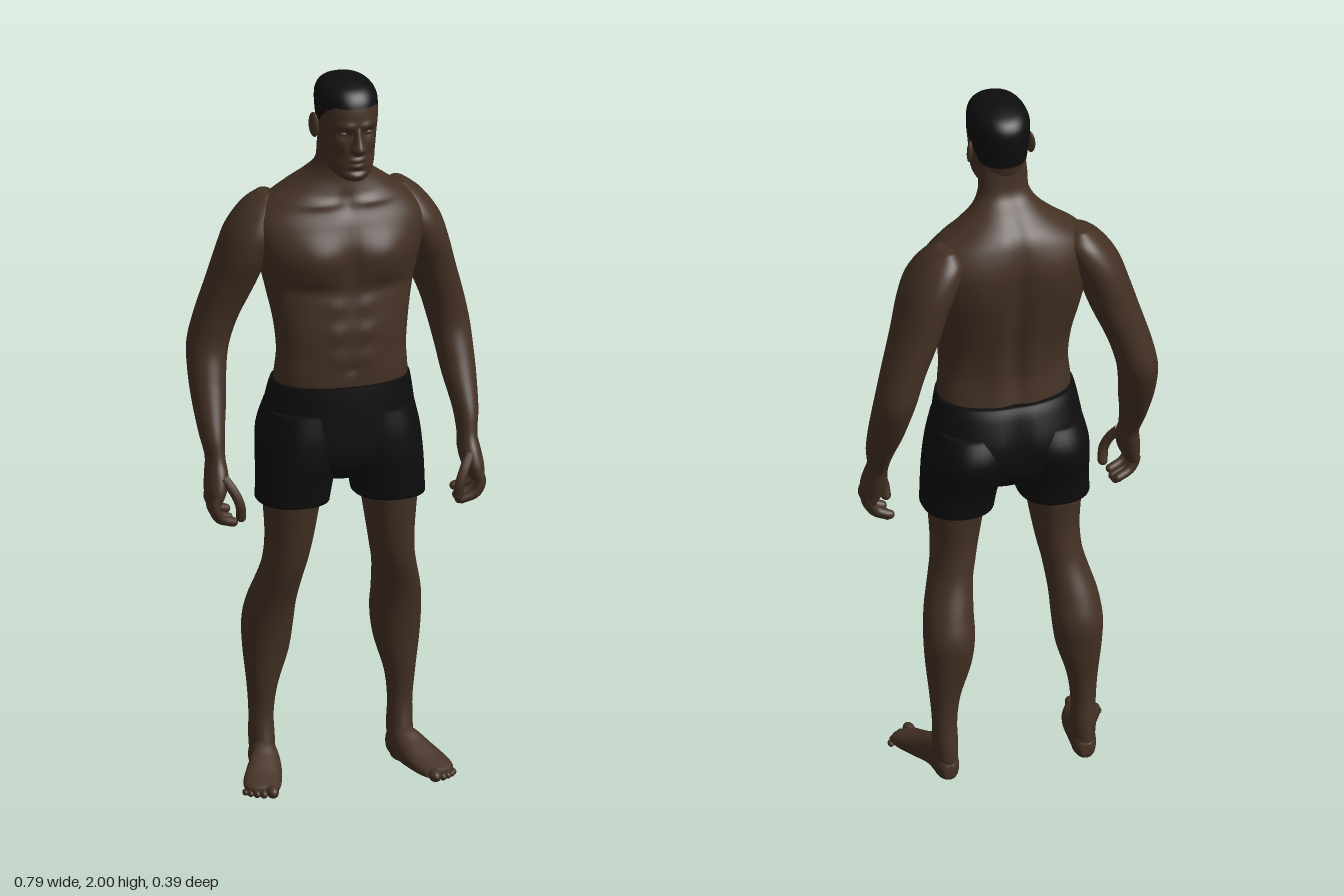
import * as THREE from 'three';

const skin = new THREE.MeshStandardMaterial({ color: 0x443124 });
skin.name = 'darkSkin';
const black = new THREE.MeshStandardMaterial({ color: 0x0e0e0f });
black.name = 'blackClothAndHair';

// Smooth spline through section rows, all columns at once.
function resample(rows, steps) {
  const out = [];
  const at = (i) => rows[Math.min(Math.max(i, 0), rows.length - 1)];
  for (let i = 0; i < rows.length - 1; i++) {
    for (let s = 0; s < steps; s++) {
      const t = s / steps;
      out.push(rows[0].map((_, k) => {
        const [a, b, c, d] = [at(i - 1)[k], at(i)[k], at(i + 1)[k], at(i + 2)[k]];
        return 0.5 * (2 * b + (c - a) * t + (2 * a - 5 * b + 4 * c - d) * t * t + (3 * b - a - 3 * c + d) * t * t * t);
      }));
    }
  }
  out.push(rows[rows.length - 1]);
  return out;
}

// Closed loft over rows [y, xMin, xMax, zBack, zFront].
// Bumps [x, y, side, rx, ry, amount] raise muscles on the front (1) or back (-1), mirrored in x.
function loft(rows, { power = 2.3, around = 40, steps = 5, bumps = [] } = {}) {
  const rings = resample(rows[0][0] < rows[rows.length - 1][0] ? rows : [...rows].reverse(), steps);
  const pos = [], index = [];
  const round = (v) => Math.sign(v) * Math.abs(v) ** (2 / power);
  for (const [y, x0, x1, zb, zf] of rings) {
    for (let j = 0; j < around; j++) {
      const a = (j / around) * Math.PI * 2;
      const x = (x0 + x1) / 2 + ((x1 - x0) / 2) * round(Math.cos(a));
      let z = (zb + zf) / 2 + ((zf - zb) / 2) * round(Math.sin(a));
      for (const [bx, by, side, rx, ry, amount] of bumps) {
        const facing = Math.max(0, Math.sin(a) * side);
        const d = ((Math.abs(x) - bx) / rx) ** 2 + ((y - by) / ry) ** 2;
        z += side * amount * Math.exp(-d) * Math.sqrt(facing);
      }
      pos.push(x, y, z);
    }
  }
  const last = rings.length - 1, bottom = rings.length * around, top = bottom + 1;
  for (const [y, x0, x1, zb, zf] of [rings[0], rings[last]]) pos.push((x0 + x1) / 2, y, (zb + zf) / 2);
  for (let j = 0; j < around; j++) {
    const k = (j + 1) % around;
    for (let i = 0; i < last; i++) {
      const a = i * around + j, b = i * around + k;
      index.push(a, a + around, b, b, a + around, b + around);
    }
    index.push(bottom, j, k, top, last * around + k, last * around + j);
  }
  const g = new THREE.BufferGeometry();
  g.setAttribute('position', new THREE.Float32BufferAttribute(pos, 3));
  g.setIndex(index);
  g.computeVertexNormals();
  return g;
}

const centred = (rows) => rows.map(([y, w, zb, zf]) => [y, -w, w, zb, zf]);

function mirrored(geometry) {
  const g = geometry.clone().scale(-1, 1, 1);
  const ix = g.index.array;
  for (let i = 0; i < ix.length; i += 3) [ix[i], ix[i + 1]] = [ix[i + 1], ix[i]];
  return g;
}

function ellipsoid(x, y, z, rx, ry, rz) {
  return new THREE.SphereGeometry(1, 16, 12).scale(rx, ry, rz).translate(x, y, z);
}

export function createModel() {
  const model = new THREE.Group();
  model.name = 'standingMan';
  const add = (name, geometry, material = skin) => {
    const m = new THREE.Mesh(geometry, material);
    m.name = name;
    model.add(m);
  };
  const pair = (name, geometry, material = skin) => {
    add('left' + name, geometry, material);
    add('right' + name, mirrored(geometry), material);
  };

  // Torso and neck
  add('torsoAndNeck', loft(centred([
    [1.08, 0.18, -0.13, 0.105], [1.15, 0.181, -0.118, 0.112], [1.22, 0.176, -0.108, 0.112],
    [1.3, 0.183, -0.118, 0.11], [1.38, 0.198, -0.14, 0.1], [1.45, 0.214, -0.155, 0.103],
    [1.52, 0.232, -0.165, 0.105], [1.58, 0.236, -0.17, 0.088], [1.63, 0.2, -0.16, 0.066],
    [1.67, 0.145, -0.14, 0.052], [1.71, 0.095, -0.1, 0.045], [1.75, 0.069, -0.058, 0.052],
    [1.8, 0.066, -0.046, 0.06], [1.87, 0.06, -0.045, 0.07],
  ]), {
    around: 96, steps: 8, bumps: [
      [0.095, 1.49, 1, 0.075, 0.06, 0.02], [0.1, 1.405, 1, 0.08, 0.022, -0.007], // chest
      [0, 1.48, 1, 0.014, 0.08, -0.008],
      [0.04, 1.36, 1, 0.028, 0.025, 0.006], [0.04, 1.29, 1, 0.028, 0.025, 0.007], // abdomen
      [0.04, 1.22, 1, 0.028, 0.025, 0.006], [0, 1.185, 1, 0.012, 0.012, -0.007],
      [0, 1.64, 1, 0.02, 0.03, -0.008], [0.08, 1.64, 1, 0.06, 0.012, 0.006], // collarbones
      [0, 1.4, -1, 0.022, 0.26, -0.018], [0.11, 1.52, -1, 0.06, 0.08, 0.012], // spine, shoulder blades
      [0.05, 1.24, -1, 0.03, 0.1, 0.008],
    ],
  }));

  // Head, with the hair as a second material group above the hairline
  const head = loft(centred([
    [1.734, 0.028, 0.075, 0.15], [1.748, 0.05, 0.02, 0.158], [1.775, 0.064, -0.015, 0.158],
    [1.81, 0.07, -0.042, 0.158], [1.85, 0.074, -0.055, 0.16], [1.89, 0.078, -0.063, 0.165],
    [1.93, 0.08, -0.068, 0.163], [1.96, 0.077, -0.062, 0.153], [1.982, 0.062, -0.042, 0.132],
    [1.995, 0.036, -0.005, 0.095], [2.0, 0.01, 0.03, 0.06],
  ]), {
    around: 112, steps: 8, power: 2.25, bumps: [
      [0.034, 1.868, 1, 0.018, 0.012, -0.012], [0.032, 1.893, 1, 0.025, 0.009, 0.007], // eyes, brows
      [0.045, 1.835, 1, 0.015, 0.014, 0.004], [0.05, 1.8, 1, 0.015, 0.02, -0.005],
      [0, 1.795, 1, 0.024, 0.006, 0.007], [0, 1.778, 1, 0.022, 0.006, 0.006], // lips
      [0, 1.763, 1, 0.03, 0.006, -0.005], [0, 1.748, 1, 0.022, 0.01, 0.004],
    ],
  });
  const hairline = [[-1, 1.84], [0, 1.843], [0.035, 1.885], [0.06, 1.885], [0.09, 1.912], [0.13, 1.94], [1, 1.945]];
  const lineAt = (z) => {
    const i = hairline.findIndex((p) => p[0] >= z);
    const [a, b] = [hairline[i - 1], hairline[i]];
    return a[1] + ((b[1] - a[1]) * (z - a[0])) / (b[0] - a[0]);
  };
  const face = [], hair = [], p = head.attributes.position, ix = head.index.array;
  for (let i = 0; i < ix.length; i += 3) {
    const tri = [ix[i], ix[i + 1], ix[i + 2]];
    const mean = (get) => tri.reduce((s, v) => s + get(v), 0) / 3;
    (mean((v) => p.getY(v)) > lineAt(mean((v) => p.getZ(v))) ? hair : face).push(...tri);
  }
  head.setIndex([...face, ...hair]);
  head.addGroup(0, face.length, 0);
  head.addGroup(face.length, hair.length, 1);
  add('headAndHair', head, [skin, black]);

  add('nose', loft(centred([
    [1.808, 0.01, 0.13, 0.166], [1.818, 0.021, 0.13, 0.182], [1.832, 0.02, 0.13, 0.195],
    [1.858, 0.012, 0.13, 0.182], [1.89, 0.011, 0.13, 0.168],
  ]), { around: 24, power: 2 }));
  pair('Ear', ellipsoid(0, 0, 0, 0.008, 0.034, 0.02).rotateY(-0.4).rotateX(-0.15).translate(0.084, 1.862, 0.03));
  pair('Eye', ellipsoid(0.033, 1.868, 0.138, 0.014, 0.008, 0.011));

  // Arms
  pair('Arm', loft([
    [1.645, 0.165, 0.205, -0.12, -0.05], [1.61, 0.14, 0.25, -0.16, 0], [1.55, 0.155, 0.293, -0.182, 0.025],
    [1.48, 0.185, 0.318, -0.187, 0.018], [1.4, 0.212, 0.342, -0.187, -0.012], [1.3, 0.255, 0.372, -0.189, -0.042],
    [1.22, 0.28, 0.39, -0.189, -0.05], [1.15, 0.294, 0.394, -0.165, -0.03], [1.08, 0.304, 0.393, -0.128, -0.002],
    [1, 0.32, 0.386, -0.08, 0.032], [0.94, 0.325, 0.376, -0.045, 0.047], [0.9, 0.322, 0.381, -0.035, 0.068],
    [0.86, 0.329, 0.386, -0.024, 0.082], [0.825, 0.345, 0.384, -0.012, 0.082],
  ], { power: 2.1 }));

  // Curled fingers and the thumb
  const digit = (name, points, r) => {
    const curve = new THREE.CatmullRomCurve3(points.map((q) => new THREE.Vector3(...q)));
    const tip = points[points.length - 1];
    pair(name, new THREE.TubeGeometry(curve, 12, r, 10));
    pair(name + 'Tip', ellipsoid(...tip, r, r, r));
  };
  for (let i = 0; i < 4; i++) {
    const z = -0.002 + i * 0.024, drop = [0.022, 0.005, 0, 0.008][i];
    digit('Finger' + (i + 1), [[0.362, 0.85, z], [0.37, 0.812 + drop, z + 0.003],
      [0.355, 0.78 + drop, z + 0.002], [0.318, 0.764 + drop, z - 0.006]], 0.0125);
  }
  digit('Thumb', [[0.342, 0.895, 0.06], [0.32, 0.86, 0.08], [0.306, 0.825, 0.088], [0.302, 0.79, 0.082]], 0.0135);

  // Shorts
  add('shortsHips', loft(centred([
    [1.138, 0.188, -0.132, 0.117], [1.1, 0.196, -0.15, 0.119], [1.02, 0.208, -0.172, 0.12],
    [0.95, 0.208, -0.162, 0.118], [0.9, 0.17, -0.13, 0.1], [0.862, 0.08, -0.08, 0.06],
  ]), { around: 64, bumps: [[0, 1, -1, 0.025, 0.09, -0.018]] }), black);
  pair('ShortsLeg', loft([
    [1.06, 0.01, 0.2, -0.15, 0.11], [0.99, 0.006, 0.217, -0.177, 0.119], [0.92, 0.01, 0.224, -0.155, 0.118],
    [0.86, 0.026, 0.227, -0.128, 0.108], [0.8, 0.036, 0.23, -0.116, 0.098],
  ]), black);

  // Legs
  pair('Leg', loft([
    [0.9, 0.04, 0.212, -0.12, 0.1], [0.8, 0.06, 0.21, -0.106, 0.09], [0.7, 0.077, 0.204, -0.095, 0.074],
    [0.63, 0.09, 0.206, -0.1, 0.06], [0.58, 0.1, 0.216, -0.112, 0.044], [0.5, 0.108, 0.238, -0.145, 0.01],
    [0.43, 0.11, 0.246, -0.166, -0.012], [0.35, 0.12, 0.243, -0.156, -0.03], [0.25, 0.15, 0.232, -0.14, -0.046],
    [0.17, 0.16, 0.226, -0.136, -0.057], [0.1, 0.158, 0.226, -0.143, -0.048], [0.04, 0.16, 0.222, -0.143, -0.03],
    [0.005, 0.168, 0.215, -0.135, -0.04],
  ], { power: 2.1 }));

  // Feet, lofted from heel to toe and laid flat
  pair('Foot', loft([
    [-0.146, 0.175, 0.207, -0.05, -0.012], [-0.12, 0.16, 0.222, -0.085, 0], [-0.05, 0.16, 0.235, -0.1, 0],
    [0, 0.165, 0.262, -0.078, 0], [0.05, 0.178, 0.286, -0.054, 0], [0.085, 0.192, 0.288, -0.04, 0],
    [0.11, 0.205, 0.27, -0.03, -0.004],
  ]).rotateX(Math.PI / 2));
  const toes = [[0.226, 0.12, 0.018], [0.249, 0.115, 0.012], [0.265, 0.106, 0.011], [0.279, 0.094, 0.01], [0.289, 0.08, 0.009]];
  toes.forEach(([x, z, r], i) => pair('Toe' + (i + 1), ellipsoid(x, r * 0.95, z, r * 0.9, r * 0.95, r * 1.45)));

  return model;
}
